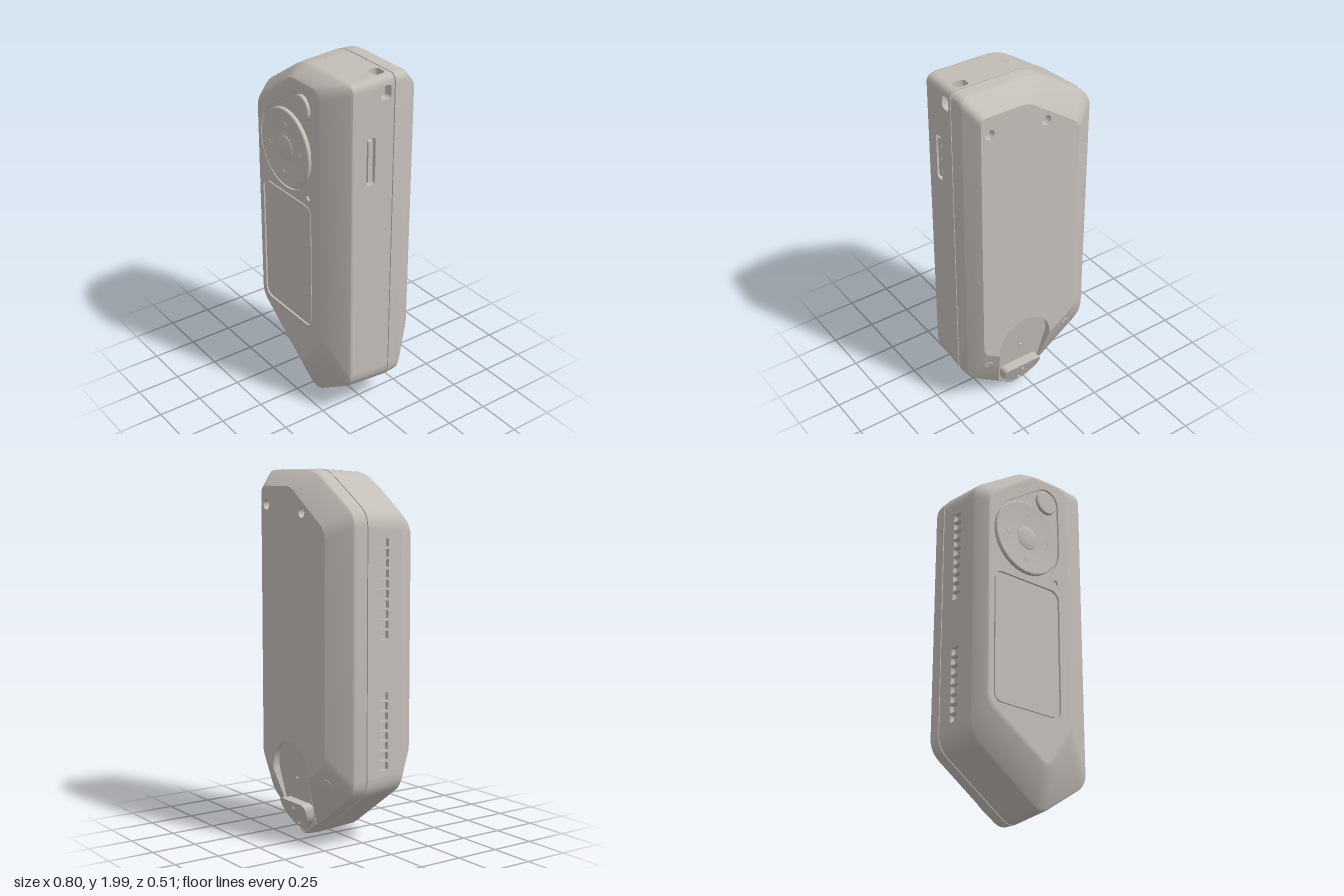
import * as THREE from 'three';
import { toCreasedNormals, mergeGeometries } from 'three/addons/utils/BufferGeometryUtils.js';

const V2 = (x, y) => new THREE.Vector2(x, y);
const V3 = (x, y, z) => new THREE.Vector3(x, y, z);

// Rounds each corner [x, y, trim] into six points (one when trim is missing)
function roundCorners(list) {
  const out = [], n = list.length;
  list.forEach(([x, y, trim], i) => {
    const p = V2(x, y);
    if (!trim) return out.push(p);
    const toward = (q) => V2(q[0], q[1]).sub(p).setLength(trim).add(p);
    const curve = new THREE.QuadraticBezierCurve(toward(list[(i + n - 1) % n]), p, toward(list[(i + 1) % n]));
    out.push(...curve.getPoints(5));
  });
  return out;
}

// Rounded rectangle outline
function pill(cx, cy, w, h, r) {
  const out = [];
  for (let q = 0; q < 4; q++) {
    const sx = q === 0 || q === 3 ? 1 : -1, sy = q < 2 ? 1 : -1;
    for (let k = 0; k <= 6; k++) {
      const a = (q + k / 6) * Math.PI / 2;
      out.push(V2(cx + sx * (w / 2 - r) + r * Math.cos(a), cy + sy * (h / 2 - r) + r * Math.sin(a)));
    }
  }
  return out;
}

// Body section at depth z, with two extra points beside the bottom corner
function ring(c, z, fa = 0.27, fb = 0.36) {
  const mix = (p, q, f) => [p[0] + (q[0] - p[0]) * f, p[1] + (q[1] - p[1]) * f];
  const pts = [c[0], c[1], c[2], c[3], mix(c[4], c[3], fa), c[4], mix(c[4], c[5], fb), c[5]];
  return roundCorners(pts).map((p) => V3(p.x, p.y, z));
}

// Softens the inner rings of a stack by three closely spaced rings
function soften(rings, d) {
  const out = [rings[0]];
  for (let i = 1; i < rings.length - 1; i++) {
    const step = (other) => rings[i].map((p, j) => other[j].clone().sub(p).setLength(d).add(p));
    const a = step(rings[i - 1]), b = step(rings[i + 1]);
    const m = rings[i].map((p, j) => p.clone().multiplyScalar(2).add(a[j]).add(b[j]).divideScalar(4));
    out.push(a, m, b);
  }
  return [...out, rings.at(-1)];
}

// Skin over a stack of closed rings; skip leaves openings
function loft(rings, skip = () => false) {
  const n = rings[0].length, index = [];
  for (let i = 0; i < rings.length - 1; i++) for (let j = 0; j < n; j++) {
    if (skip(i, j)) continue;
    const k = (j + 1) % n, a = i * n + j, b = i * n + k, c = b + n, d = a + n;
    index.push(a, d, c, a, c, b);
  }
  const g = new THREE.BufferGeometry().setFromPoints(rings.flat());
  g.setIndex(index);
  return toCreasedNormals(g, 0.5);
}

// Flat face whose points are placed by a mapping rule
function face(outline, holes, map) {
  const shape = new THREE.Shape(outline);
  shape.holes = holes.map((h) => new THREE.Path(h));
  const g = new THREE.ShapeGeometry(shape).toNonIndexed(), p = g.attributes.position;
  for (let i = 0; i < p.count; i++) p.setXYZ(i, ...map(p.getX(i), p.getY(i), 0).toArray());
  g.deleteAttribute('uv');
  g.computeVertexNormals();
  return g;
}

// Face with sunk pockets, each { pts, depth }
function pocketFace(outline, pockets, map) {
  const parts = [face(outline, pockets.map((p) => p.pts), map)];
  for (const { pts, depth } of pockets) {
    parts.push(loft([0, depth].map((d) => pts.map((p) => map(p.x, p.y, d)))));
    parts.push(face(pts, [], (s, t) => map(s, t, depth)));
  }
  return mergeGeometries(parts);
}

export function createModel() {
  const group = new THREE.Group();
  const shell = new THREE.MeshStandardMaterial({ color: 0xc4beb8, side: THREE.DoubleSide });
  shell.name = 'warm grey plastic';
  const add = (name, geometry, x = 0, y = 0, z = 0) => {
    const m = new THREE.Mesh(geometry, shell);
    m.name = name;
    m.position.set(x, y, z);
    group.add(m);
    return m;
  };

  // Body outlines
  const outer = (o) => [[0.4, 2, 0.045], [-0.045, 2, 0.07], [-0.4, 1.77, 0.07], [-0.4, 0.32, 0.07], [0.07, -0.01, 0.06], [0.4, 0.21, 0.06]]
    .map(([x, y, r]) => [x * (1 - o / 0.4), 1 + (y - 1) * (1 - o), r]);
  const frontCorners = [[0.215, 1.925, 0.07], [-0.035, 1.925, 0.05], [-0.34, 1.7, 0.05], [-0.34, 0.49, 0.05], [0.055, 0.225, 0.05], [0.215, 0.46, 0.05]];
  const backCorners = [[0.34, 1.91, 0.04], [0.06, 1.91, 0.04], [-0.26, 1.69, 0.05], [-0.26, 0.47, 0.05], [0.07, 0.25, 0.03], [0.34, 0.42, 0.04]];

  // Front shell, open where the flat side panels go
  const RIGHT = 37, TOP = 5, LEFT = 17;
  const frontRing = ring(frontCorners, 0.243);
  const middle = frontRing.map((p) => V3(p.x * 0.8 - 0.012, 1.1 + (p.y - 1.1) * 0.9, 0.243));
  const front = soften([middle, frontRing, ring(outer(0.015), 0.16), ring(outer(0), -0.082)], 0.013).slice(1);
  const last = front.length - 2;
  add('frontShell', loft(front, (i, j) => i === last && [RIGHT, TOP, LEFT].includes(j)));
  add('seamGroove', loft([ring(outer(0), -0.082), ring(outer(0.008), -0.082), ring(outer(0.008), -0.088), ring(outer(0), -0.088)]));

  // Side panels with their openings
  function sidePanel(name, j, axis, pockets) {
    const k = (j + 1) % front[0].length;
    const [p0, p1, q0, q1] = [front[last][j], front[last][k], front[last + 1][j], front[last + 1][k]];
    const along = axis === 'x' ? 'y' : 'x', inward = j === LEFT ? 1 : -1;
    const map = (s, z, d) => {
      const o = p0[axis] + (q0[axis] - p0[axis]) * (z - p0.z) / (q0.z - p0.z) + inward * d;
      return axis === 'x' ? V3(o, s, z) : V3(s, o, z);
    };
    add(name, pocketFace([p0, p1, q1, q0].map((p) => V2(p[along], p.z)), pockets, map));
  }
  sidePanel('rightPanel', RIGHT, 'x', [
    { pts: pill(1.56, 0.05, 0.26, 0.052, 0.016), depth: 0.025 },
    { pts: pill(1.915, -0.032, 0.075, 0.062, 0.02), depth: 0.05 },
  ]);
  sidePanel('topPanel', TOP, 'y', [
    { pts: pill(0.083, 0.029, 0.175, 0.058, 0.028), depth: 0.025 },
    { pts: pill(0.312, -0.034, 0.075, 0.062, 0.02), depth: 0.05 },
  ]);
  const pins = (start, count) => Array.from({ length: count }, (_, i) => (
    { pts: pill(start - 0.0265 - i * 0.053, 0.03, 0.044, 0.056, 0.008), depth: 0.025 }));
  sidePanel('leftPanel', LEFT, 'x', [...pins(1.65, 10), ...pins(0.85, 8)]);
  add('sideSlider', new THREE.BoxGeometry(0.02, 0.225, 0.028), 0.377, 1.56, 0.05);
  add('portTongue', new THREE.BoxGeometry(0.13, 0.025, 0.016), 0.083, 1.977, 0.029);

  // Front plate with screen, control and indicator recesses
  const c1 = V2(-0.08, 1.51), c2 = V2(0.063, 1.785), r1 = 0.231, r2 = 0.085;
  const phi = c2.clone().sub(c1).angle(), beta = Math.acos((r1 - r2) / c1.distanceTo(c2));
  const drop = [];
  const arc = (c, r, from, to, n) => {
    for (let i = 0; i <= n; i++) {
      const a = from + (to - from) * i / n;
      drop.push(V2(c.x + r * Math.cos(a), c.y + r * Math.sin(a)));
    }
  };
  arc(c2, r2, phi - beta, phi + beta, 20);
  arc(c1, r1, phi + beta, phi - beta + 2 * Math.PI, 48);
  add('frontPlate', pocketFace(front[0].map((p) => V2(p.x, p.y)), [
    { pts: drop, depth: 0.012 },
    { pts: pill(-0.08, 0.873, 0.448, 0.748, 0.055), depth: 0.012 },
    { pts: pill(0.12, 1.3, 0.032, 0.032, 0.016), depth: 0.012 },
  ], (x, y, d) => V3(x, y, 0.243 - d)));
  add('screen', new THREE.ExtrudeGeometry(new THREE.Shape(pill(-0.08, 0.873, 0.428, 0.728, 0.045)), { depth: 0.009, bevelEnabled: false }), 0, 0, 0.231);

  // Buttons turned about the z axis
  const turned = (name, profile, c) => add(name,
    toCreasedNormals(new THREE.LatheGeometry(profile.map(([r, h]) => V2(r, h)), 48).rotateX(Math.PI / 2), 0.6), c.x, c.y);
  turned('directionPad', [[0.217, 0.231], [0.217, 0.248], [0.211, 0.252], [0.2, 0.251], [0.1, 0.246], [0, 0.245]], c1);
  turned('centreButton', [[0.069, 0.243], [0.067, 0.248], [0.055, 0.252], [0.03, 0.254], [0, 0.2545]], c1);
  turned('backButton', [[0.069, 0.231], [0.069, 0.246], [0.064, 0.25], [0, 0.25]], c2);
  for (let q = 0; q < 4; q++) for (const s of [-1, 1]) {
    const a = q * Math.PI / 2, d = V2(0.14, s * 0.011).rotateAround(V2(0, 0), a).add(c1);
    add('padMark', new THREE.BoxGeometry(0.034, 0.004, 0.003), d.x, d.y, 0.2482).rotation.z = a - s * 0.9;
  }

  // Back shell, open at the thumb notch
  const back = soften([ring(outer(0), -0.088), ring(outer(0.004), -0.165), ring(backCorners, -0.255, 0.522, 0.62)], 0.013);
  const rim = back.at(-2), inner = back.at(-1);
  add('backShell', loft(back, (i, j) => i === back.length - 2 && j >= 24 && j <= 30));

  // Back face, cut by the round notch, with two screw holes
  const a0 = inner[31], a1 = inner[24], notch = [];
  const centre = V2(0.068, 0.37), start = Math.atan2(a0.y - centre.y, a0.x - centre.x);
  const end = Math.atan2(a1.y - centre.y, a1.x - centre.x) + 2 * Math.PI;
  for (let i = 1; i < 32; i++) {
    const a = start + (end - start) * i / 32;
    notch.push(V3(centre.x + 0.17 * Math.cos(a), centre.y + 0.17 * Math.sin(a), -0.255));
  }
  const flat = (pts) => pts.map((p) => V2(p.x, p.y));
  const backOutline = [...inner.slice(0, 25), ...notch.slice().reverse(), ...inner.slice(31)];
  add('backFace', pocketFace(flat(backOutline), [[0.29, 1.81], [-0.05, 1.775]].map(([x, y]) => (
    { pts: pill(x, y, 0.056, 0.056, 0.028), depth: 0.04 })), (x, y, d) => V3(x, y, -0.255 + d)));

  // Sloping notch floor and its wall
  const floorZ = (y) => -0.165 - 0.075 * (y - 0.03) / 0.52;
  const edge = [rim[31], a0, ...notch, a1, ...rim.slice(24, 31)];
  add('notchFloor', face(flat(edge), [], (x, y) => V3(x, y, floorZ(y))));
  add('notchWall', loft([edge, edge.map((p) => V3(p.x, p.y, floorZ(p.y)))]));

  // Wedge lug under the notch
  const lugOutline = roundCorners([[-0.055, 0.205, 0.035], [-0.045, 0.12, 0.03], [0.025, 0.05, 0.03], [0.115, 0.05, 0.03], [0.185, 0.12, 0.03], [0.195, 0.205, 0.035]]);
  const lug = new THREE.ExtrudeGeometry(new THREE.Shape(lugOutline), { depth: 1, bevelEnabled: false });
  const lp = lug.attributes.position;
  for (let i = 0; i < lp.count; i++) lp.setZ(i, lp.getZ(i) > 0.5 ? -0.15 : -0.25 + (0.205 - lp.getY(i)) * 0.42);
  lug.computeVertexNormals();
  add('lug', lug);
  for (const [y, z] of [[0.33, floorZ(0.33)], [0.165, -0.234], [0.075, -0.196]]) {
    add('pinDot', new THREE.SphereGeometry(0.01, 12, 8), 0.07, y, z);
  }

  // Lower screws seated on the sloping facets
  for (const [i, j, f] of [[31, 32, 0.72], [24, 23, 0.82]]) {
    const at = inner[i].clone().lerp(inner[j], f).lerp(rim[i].clone().lerp(rim[j], f), 0.4);
    const n = inner[j].clone().sub(inner[i]).cross(rim[i].clone().sub(inner[i])).normalize();
    if (n.z > 0) n.negate();
    const screw = add('lowerScrew', new THREE.LatheGeometry([V2(0, 0.001), V2(0.018, 0.001), V2(0.026, 0.006), V2(0.031, -0.004)], 24), at.x, at.y, at.z);
    screw.quaternion.setFromUnitVectors(V3(0, 1, 0), n);
  }
  return group;
}
